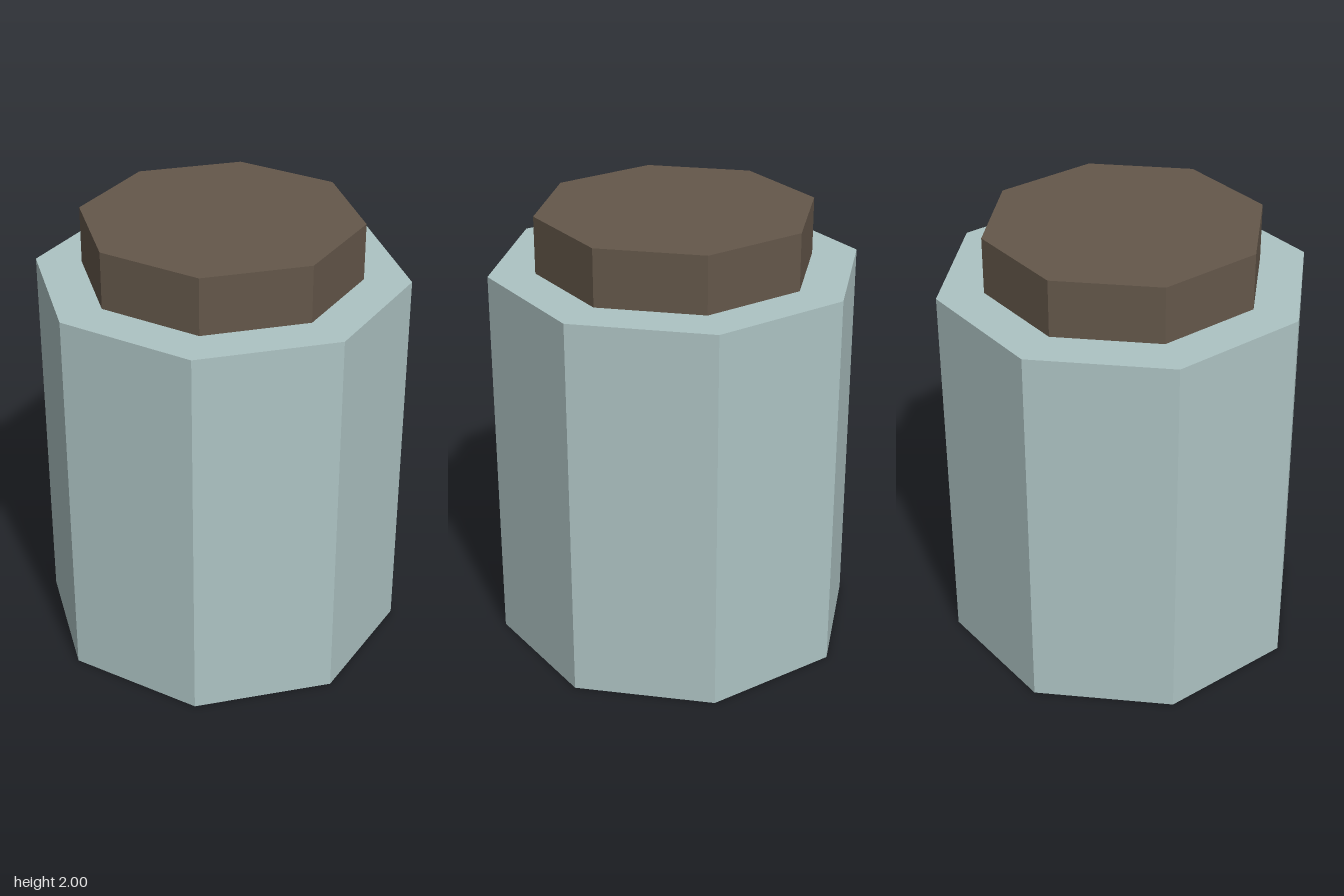
import * as THREE from 'three';

const BODY_TOP = 1.745;
const TOTAL_HEIGHT = 2;

function flatMaterial(name, color) {
  const material = new THREE.MeshStandardMaterial({ color, flatShading: true });
  material.name = name;
  return material;
}

// Upright octagonal prism with corners on the x and z axes
function octagon(name, radius, bottom, top, material) {
  const geometry = new THREE.CylinderGeometry(radius, radius, top - bottom, 8);
  const mesh = new THREE.Mesh(geometry, material);
  mesh.name = name;
  mesh.position.y = (bottom + top) / 2;
  return mesh;
}

export function createModel() {
  const group = new THREE.Group();
  group.name = 'jar';
  const glass = flatMaterial('pale blue-grey', 0xadc3c3);
  const cork = flatMaterial('dark brown', 0x64574a);

  // Wide jar body and the narrower stopper on top
  group.add(
    octagon('body', 0.82, 0, BODY_TOP, glass),
    octagon('stopper', 0.615, BODY_TOP, TOTAL_HEIGHT, cork),
  );
  return group;
}
